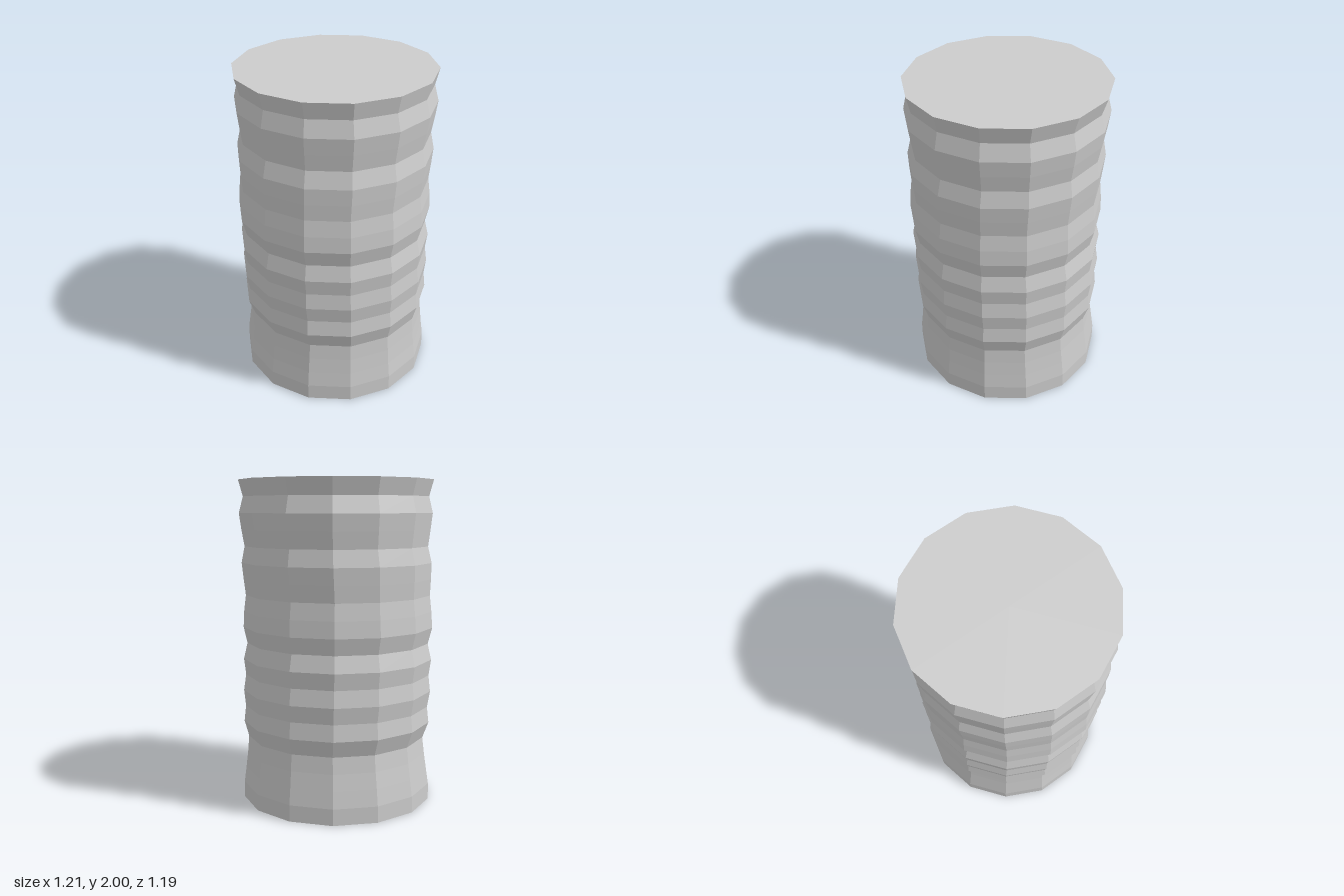
import * as THREE from 'three';

// One ring every 0.1 from the base up: radius, x shift, z shift
const RINGS = [
  [0.602, 0, -0.002], [0.601, 0, -0.002], [0.587, 0.001, -0.001], [0.574, 0.003, 0.001],
  [0.564, 0.005, 0.002], [0.596, 0, 0.002], [0.585, 0, 0.002], [0.599, -0.003, 0.004],
  [0.586, -0.004, 0.007], [0.599, -0.005, 0.008], [0.576, -0.005, 0.01], [0.6, -0.007, 0.01],
  [0.594, -0.006, 0.01], [0.582, -0.007, 0.009], [0.59, -0.004, 0.006], [0.596, -0.001, 0.002],
  [0.574, 0, -0.002], [0.589, 0.002, -0.003], [0.602, 0.003, -0.003], [0.577, 0.002, -0.002],
  [0.604, 0.001, -0.006],
];

export function createModel() {
  const group = new THREE.Group();
  group.name = 'column';

  const stone = new THREE.MeshStandardMaterial({ color: 0xcccccc, flatShading: true });
  stone.name = 'light grey';

  // Fourteen-sided capped drum with corners on the x axis
  const geometry = new THREE.CylinderGeometry(1, 1, 2, 14, RINGS.length - 1, false, Math.PI / 2);
  geometry.translate(0, 1, 0);

  // Swell, pinch and shift each ring
  const pos = geometry.attributes.position;
  for (let i = 0; i < pos.count; i++) {
    const [radius, dx, dz] = RINGS[Math.round(pos.getY(i) * 10)];
    pos.setX(i, pos.getX(i) * radius + dx);
    pos.setZ(i, pos.getZ(i) * radius + dz);
  }
  geometry.computeVertexNormals();

  const shaft = new THREE.Mesh(geometry, stone);
  shaft.name = 'shaft';
  group.add(shaft);
  return group;
}
